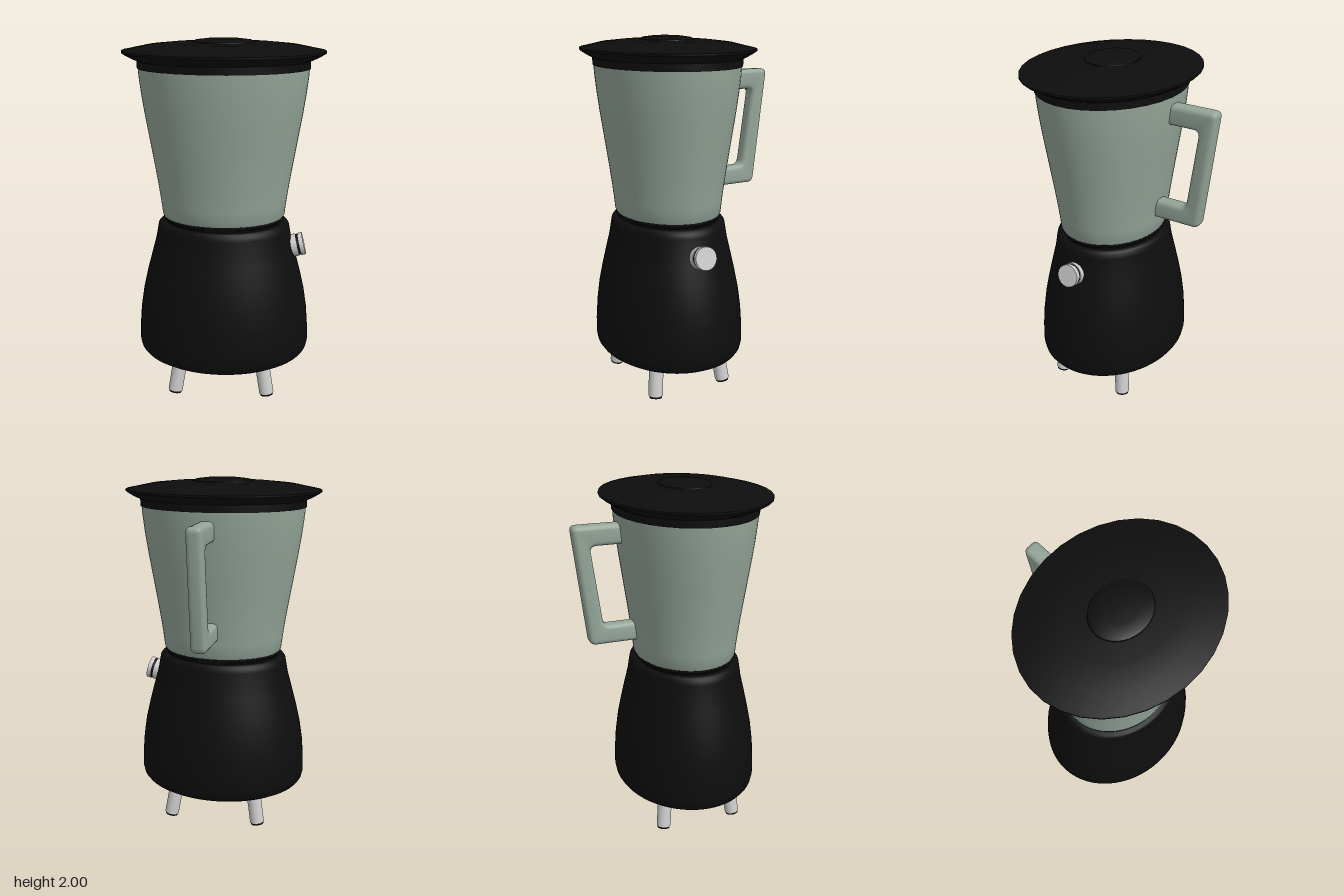
import * as THREE from 'three';
import { toCreasedNormals } from 'three/addons/utils/BufferGeometryUtils.js';

const DEPTH = 0.835;   // front-to-back squash of the oval body
const CENTER_Z = 0.09; // body sits forward to balance the handle

const mat = (color) => new THREE.MeshStandardMaterial({ color });
const black = mat(0x0d0d0d);
const glass = mat(0x94a599);
const metal = mat(0xcccccc);

function addMesh(parent, name, geometry, material) {
  const mesh = new THREE.Mesh(geometry, material);
  mesh.name = name;
  parent.add(mesh);
  return mesh;
}

// Oval turned part from [radius, height] pairs, listed bottom to top
function ovalLathe(pairs, segments, crease) {
  const points = pairs.map(([r, y]) => new THREE.Vector2(r, y));
  let g = new THREE.LatheGeometry(points, segments, Math.PI / segments);
  g.scale(1, 1, DEPTH);
  g = toCreasedNormals(g, crease);
  return g.translate(0, 0, CENTER_Z);
}

// Cylinder stack along a tilted axis: [radius, start, end, material, name]
function stack(name, position, direction, layers) {
  const group = new THREE.Group();
  group.name = name;
  for (const [r, a, b, material, part] of layers) {
    const g = toCreasedNormals(new THREE.CylinderGeometry(r, r, b - a, 24), 0.6);
    addMesh(group, part, g.translate(0, (a + b) / 2, 0), material);
  }
  group.position.copy(position);
  group.quaternion.setFromUnitVectors(new THREE.Vector3(0, 1, 0), direction.normalize());
  return group;
}

export function createModel() {
  const model = new THREE.Group();
  model.name = 'blender';

  // Motor base
  addMesh(model, 'motorBase', ovalLathe([
    [0, 0.13], [0.15, 0.132], [0.27, 0.155], [0.36, 0.173], [0.43, 0.195], [0.465, 0.215], [0.485, 0.24],
    [0.493, 0.275], [0.491, 0.36], [0.482, 0.47], [0.465, 0.58], [0.442, 0.68],
    [0.413, 0.79], [0.388, 0.88], [0.375, 0.95], [0.37, 0.975], [0.36, 0.988],
    [0.345, 0.993], [0, 0.993],
  ], 64, 0.7), black);

  // Dark neck between base and jar
  addMesh(model, 'neck', ovalLathe([
    [0, 0.98], [0.328, 0.98], [0.328, 1.0], [0.34, 1.012], [0.34, 1.025], [0, 1.025],
  ], 64, 0.7), black);

  // Jar
  addMesh(model, 'jar', ovalLathe([
    [0, 1.018], [0.335, 1.018], [0.345, 1.035], [0.354, 1.11], [0.367, 1.2],
    [0.383, 1.3], [0.4, 1.4], [0.417, 1.5], [0.434, 1.6], [0.449, 1.7],
    [0.461, 1.8], [0.465, 1.86], [0, 1.86],
  ], 64, 0.7), glass);

  // Lid with rim and raised centre cap
  addMesh(model, 'lid', ovalLathe([
    [0, 1.845], [0.47, 1.845], [0.47, 1.885], [0.505, 1.9], [0.545, 1.922],
    [0.552, 1.927], [0.552, 1.938], [0.53, 1.942], [0.42, 1.965], [0.3, 1.977], [0, 1.985],
  ], 32, 0.35), black);
  addMesh(model, 'lidCap', ovalLathe([
    [0.178, 1.97], [0.17, 1.985], [0.15, 1.993], [0.09, 2.0], [0, 2.0],
  ], 32, 0.5), black);

  // Handle: bevelled C-shape, drawn with shape x pointing backwards
  const inset = 0.025;
  const outline = [
    [0.2, 1.8], [0.552, 1.8], [0.473, 1.13], [0.14, 1.13],
    [0.14, 1.238], [0.392, 1.238], [0.453, 1.688], [0.2, 1.688],
  ].map(([x, y]) => new THREE.Vector2(x, y));
  const shape = new THREE.Shape();
  const r = 0.035;
  outline.forEach((p, i) => {
    // Round each corner with a short curve
    const toPrev = outline[(i + 7) % 8].clone().sub(p).setLength(r).add(p);
    const toNext = outline[(i + 1) % 8].clone().sub(p).setLength(r).add(p);
    if (i === 0) shape.moveTo(toPrev.x, toPrev.y);
    else shape.lineTo(toPrev.x, toPrev.y);
    shape.quadraticCurveTo(p.x, p.y, toNext.x, toNext.y);
  });
  shape.closePath();
  const handle = new THREE.ExtrudeGeometry(shape, {
    depth: 0.086 - 2 * inset, bevelThickness: inset, bevelSize: inset,
    bevelOffset: -inset, bevelSegments: 4, curveSegments: 5,
  });
  handle.translate(0, 0, inset - 0.043).rotateY(Math.PI / 2);
  addMesh(model, 'handle', toCreasedNormals(handle, 0.7), glass);

  // Control knob on the left side, square to the sloping wall
  model.add(stack('knob', new THREE.Vector3(0.38, 0.843, 0.1), new THREE.Vector3(0.97, 0.23, 0), [
    [0.064, 0, 0.042, metal, 'knobCollar'],
    [0.06, 0.042, 0.056, black, 'knobGroove'],
    [0.064, 0.056, 0.08, metal, 'knobFace'],
  ]));

  // Four splayed legs with dark pads
  for (const sx of [-1, 1]) {
    for (const sz of [-1, 1]) {
      const foot = new THREE.Vector3(sx * 0.265, 0.01, CENTER_Z + sz * 0.222);
      const up = new THREE.Vector3(-sx * 0.026, 0.16, -sz * 0.018);
      model.add(stack('leg', foot, up, [
        [0.036, 0, 0.012, black, 'legPad'],
        [0.041, 0.012, 0.2, metal, 'legTube'],
      ]));
    }
  }

  return model;
}
